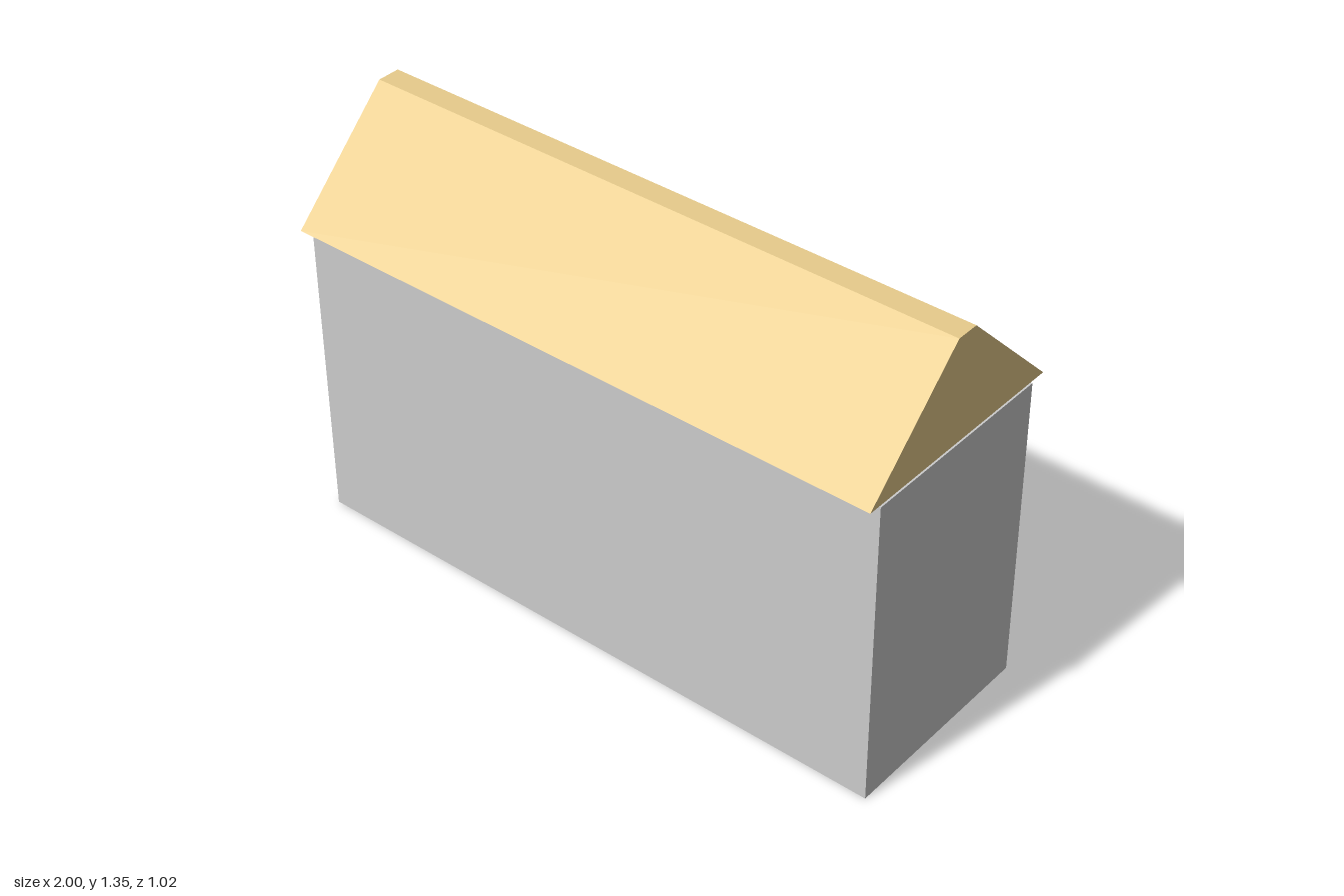
import * as THREE from 'three';

const wallMat = new THREE.MeshStandardMaterial({ color: 0xcccccc, flatShading: true });
const roofMat = new THREE.MeshStandardMaterial({ color: 0xe8cc8c, flatShading: true });

// Box given by its lower and upper corners
function walls(name, min, max) {
  const size = max.map((v, i) => v - min[i]);
  const mesh = new THREE.Mesh(new THREE.BoxGeometry(...size), wallMat);
  mesh.position.set(...max.map((v, i) => (v + min[i]) / 2));
  mesh.name = name;
  return mesh;
}

// Closed prism with the given cross-section, extruded along +z
function roof(name, profile, length) {
  const shape = new THREE.Shape(profile.map(([x, y]) => new THREE.Vector2(x, y)));
  const geometry = new THREE.ExtrudeGeometry(shape, { depth: length, bevelEnabled: false });
  const mesh = new THREE.Mesh(geometry, roofMat);
  mesh.name = name;
  return mesh;
}

export function createModel() {
  const model = new THREE.Group();
  model.name = 'building';

  // Long main hall with a flat-ridged roof floating just above it
  const hallWalls = walls('hallWalls', [-0.998, 0, -0.208], [0.998, 1, 0.463]);
  const hallRoof = roof('hallRoof',
    [[-0.507, 1.008], [0.257, 1.008], [-0.087, 1.345], [-0.161, 1.345]], 1.996);
  hallRoof.rotation.y = Math.PI / 2; // profile x becomes -z, length runs along x
  hallRoof.position.x = -0.998;

  // Small annex behind the hall, its ridge running front to back
  const annexWalls = walls('annexWalls', [-0.916, 0.008, -0.509], [-0.543, 0.303, -0.223]);
  const annexRoof = roof('annexRoof',
    [[-0.938, 0.306], [-0.519, 0.306], [-0.706, 0.402], [-0.746, 0.402]], 0.286);
  annexRoof.position.z = -0.509;

  model.add(hallWalls, hallRoof, annexWalls, annexRoof);
  model.rotation.y = -0.0035; // the building stands very slightly askew
  return model;
}
